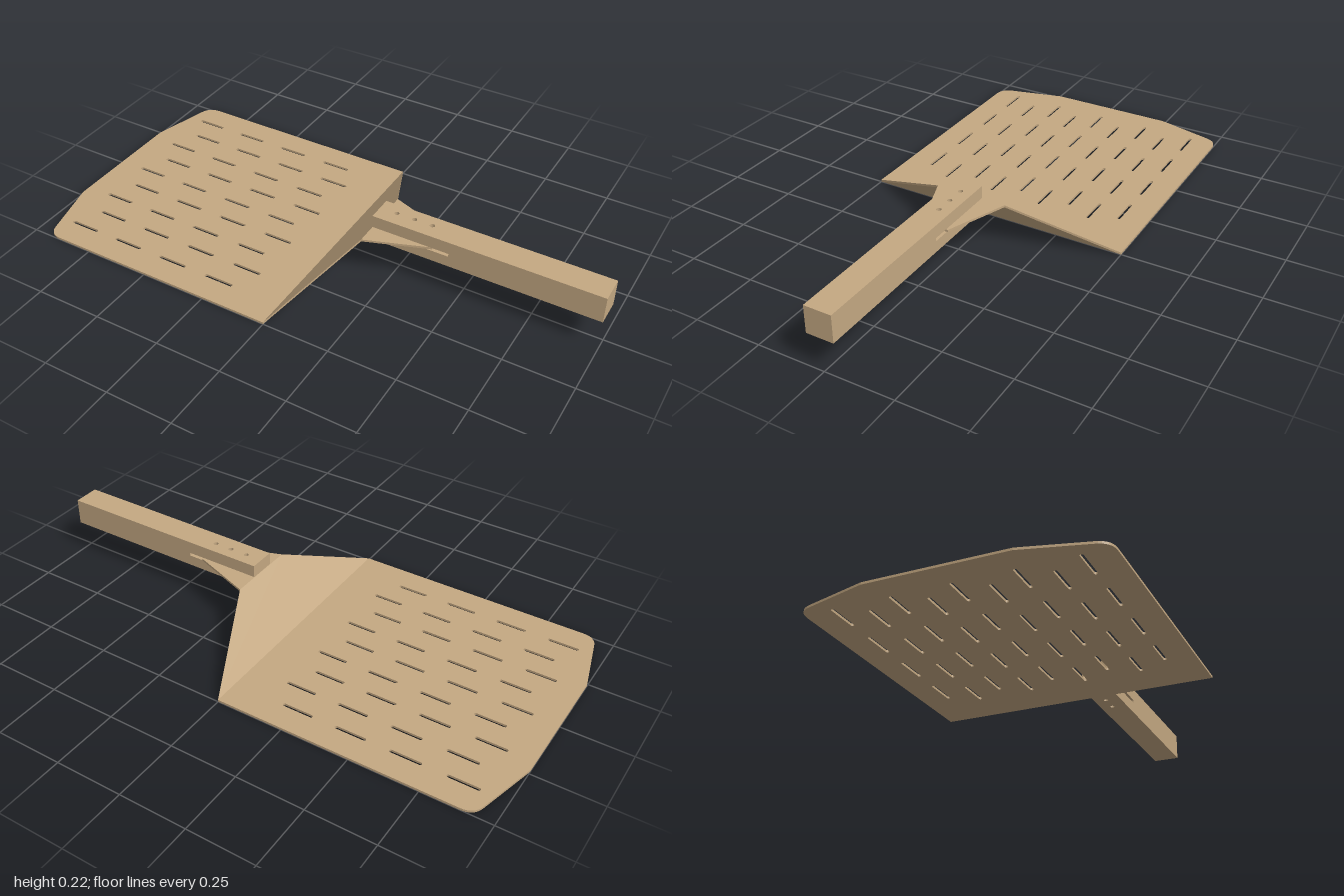
import * as THREE from 'three';

const material = new THREE.MeshStandardMaterial({ color: 0xc4a882, side: THREE.DoubleSide });
const T = 0.008;        // sheet thickness
const RISE = 0.165;     // height and run of the bent neck

// Extrudes a plan outline (x, z) upward from y0; lift(x) bends it
function slab(name, shape, y0, height, lift = () => 0) {
  const geo = new THREE.ExtrudeGeometry(shape, { depth: height, bevelEnabled: false, curveSegments: 8 });
  geo.rotateX(Math.PI / 2).translate(0, y0 + height, 0);
  const p = geo.attributes.position;
  for (let i = 0; i < p.count; i++) p.setY(i, p.getY(i) + lift(p.getX(i)));
  geo.computeVertexNormals();
  const mesh = new THREE.Mesh(geo, material);
  mesh.name = name;
  return mesh;
}

const outline = (pts) => new THREE.Shape(pts.map(([x, z]) => new THREE.Vector2(x, z)));

// Symmetric trapezoid between two stations along x
const trapezoid = (x0, w0, x1, w1) => outline([[x0, -w0], [x1, -w1], [x1, w1], [x0, w0]]);

// Round-ended vent slot
function ventSlot(x0, x1, z, r) {
  const path = new THREE.Path();
  path.absarc(x1 - r, z, r, -Math.PI / 2, Math.PI / 2);
  path.absarc(x0 + r, z, r, Math.PI / 2, Math.PI * 1.5);
  path.closePath();
  return path;
}

function addRivetHoles(shape) {
  for (const x of [0.23, 0.298, 0.365]) {
    shape.holes.push(new THREE.Path().absarc(x, 0, 0.009, 0, Math.PI * 2));
  }
  return shape;
}

export function createModel() {
  const group = new THREE.Group();
  group.name = 'perforatedPeel';

  // Flat blade with rounded front corners
  const blade = new THREE.Shape();
  blade.moveTo(0, -0.5);
  blade.lineTo(0, 0.5);
  blade.lineTo(-0.885, 0.5);
  blade.bezierCurveTo(-0.92, 0.5, -0.938, 0.483, -0.945, 0.452);
  blade.lineTo(-1, 0.24);
  blade.lineTo(-1, -0.24);
  blade.lineTo(-0.945, -0.452);
  blade.bezierCurveTo(-0.938, -0.483, -0.92, -0.5, -0.885, -0.5);
  blade.closePath();

  // Staggered rows of vents
  for (let row = -4; row <= 4; row++) {
    const start = row % 2 ? -0.858 : -0.908;
    for (let col = 0; col < 4; col++) {
      const x = start + col * 0.2;
      blade.holes.push(ventSlot(x, x + 0.115, row * 0.1, 0.006));
    }
  }
  group.add(slab('blade', blade, 0, T));

  // Sloping neck and the tang that enters the handle
  group.add(slab('neck', trapezoid(0, 0.5, RISE, 0.133), 0, T, (x) => x));
  group.add(slab('tang', addRivetHoles(trapezoid(RISE, 0.133, 0.392, 0.05)), RISE, T));

  // Square handle, split by a slot for the tang
  const handle = new THREE.Group();
  handle.name = 'handle';
  const bar = (x0) => outline([[x0, -0.045], [1, -0.045], [1, 0.055], [x0, 0.055]]);
  const slotLow = 0.163, slotHigh = 0.175;
  handle.add(
    slab('handleLower', addRivetHoles(bar(RISE)), 0.122, slotLow - 0.122),
    slab('handleCore', bar(0.455), slotLow, slotHigh - slotLow),
    slab('handleUpper', addRivetHoles(bar(RISE)), slotHigh, 0.222 - slotHigh)
  );
  group.add(handle);

  return group;
}
